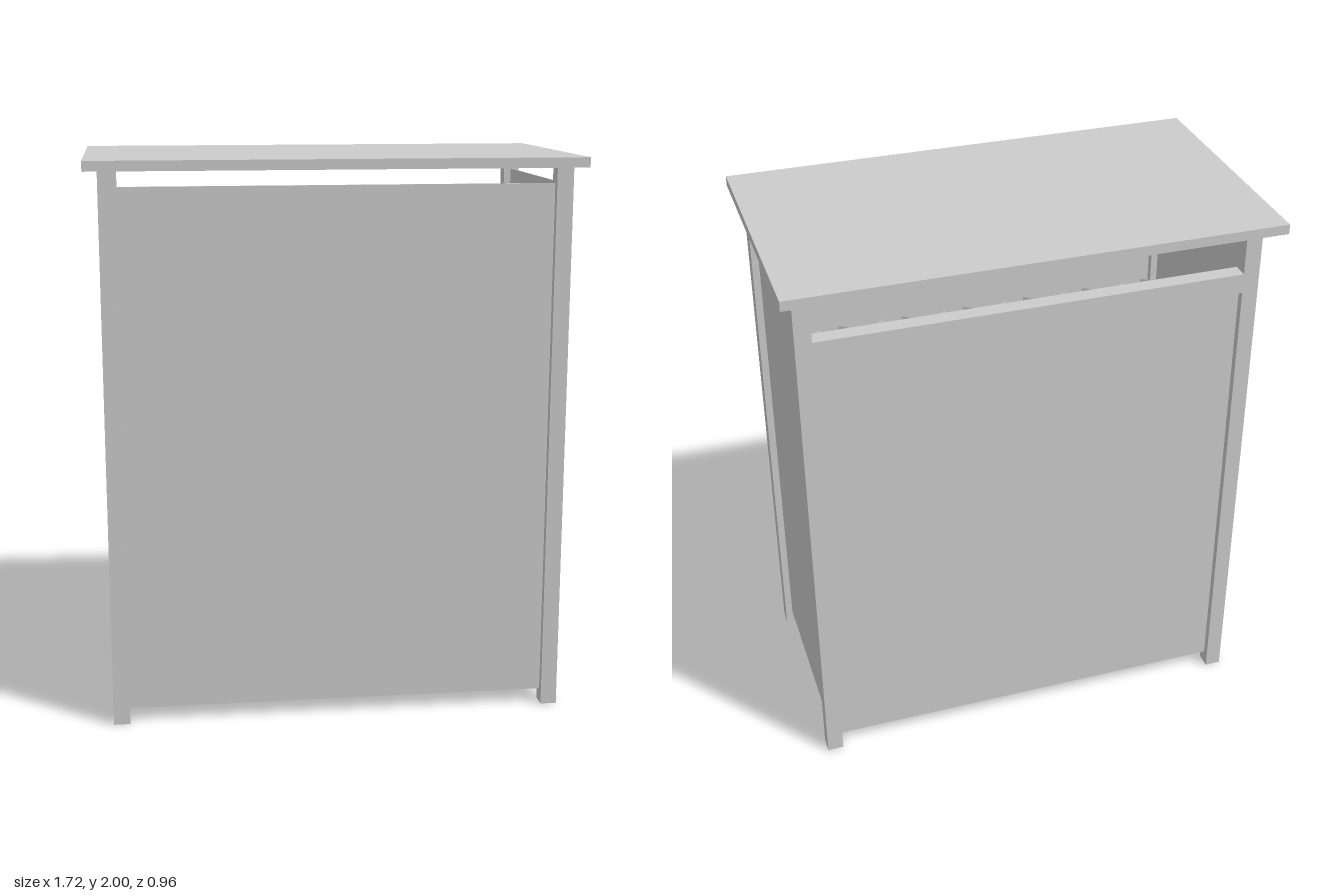
import * as THREE from 'three';

const material = new THREE.MeshStandardMaterial({ color: 0xcccccc, flatShading: true });
const tubeMaterial = new THREE.MeshStandardMaterial({
  color: 0xcccccc, flatShading: true, side: THREE.DoubleSide,
});

const POST = 0.058;               // square post width
const POST_X = 0.783;             // post centre lines
const FRONT_Z = 0.422, BACK_Z = -0.362;
const TOP_Y = 1.965;              // underside of the top board
const PANEL_BOTTOM = 0.05, PANEL_TOP = 1.91;
const RAIL_BOTTOM = 1.715, RAIL_TOP = 1.787;
const THIN = 0.006;               // panel thickness

export function createModel() {
  const model = new THREE.Group();
  model.name = 'cabinet';

  // Box given by its width, vertical extent, depth and centre
  const box = (name, w, y0, y1, d, x, z) => {
    const mesh = new THREE.Mesh(new THREE.BoxGeometry(w, y1 - y0, d), material);
    mesh.name = name;
    mesh.position.set(x, (y0 + y1) / 2, z);
    model.add(mesh);
  };

  // Overhanging top board
  box('topBoard', 1.722, TOP_Y, 2, 0.957, 0, 0);

  // Corner posts and side panels
  const midZ = (FRONT_Z + BACK_Z) / 2;
  const sideDepth = FRONT_Z - BACK_Z - POST;
  for (const [side, s] of [['left', 1], ['right', -1]]) {
    box(`${side}FrontPost`, POST, 0, TOP_Y, POST, s * POST_X, FRONT_Z);
    box(`${side}BackPost`, POST, 0, TOP_Y, POST, s * POST_X, BACK_Z);
    box(`${side}Panel`, THIN, PANEL_BOTTOM, PANEL_TOP, sideDepth, s * POST_X, midZ);
  }

  // Front panel, and a lower back panel below a cross rail
  const innerWidth = 2 * POST_X - POST;
  box('frontPanel', innerWidth, PANEL_BOTTOM, PANEL_TOP, THIN, 0, FRONT_Z);
  box('backPanel', innerWidth, PANEL_BOTTOM, RAIL_BOTTOM, THIN, 0, BACK_Z);
  box('backRail', innerWidth, RAIL_BOTTOM, RAIL_TOP, POST, 0, BACK_Z);

  // Row of six open ten-sided tubes standing inside
  const tubeHeight = 1.5;
  const tubeGeometry = new THREE.CylinderGeometry(0.107, 0.107, tubeHeight, 10, 1, true);
  tubeGeometry.rotateY(Math.PI / 2);
  for (let i = 0; i < 6; i++) {
    const tube = new THREE.Mesh(tubeGeometry, tubeMaterial);
    tube.name = `tube${i + 1}`;
    tube.position.set((i - 2.5) * 0.2345, tubeHeight / 2, 0.08);
    model.add(tube);
  }

  return model;
}
